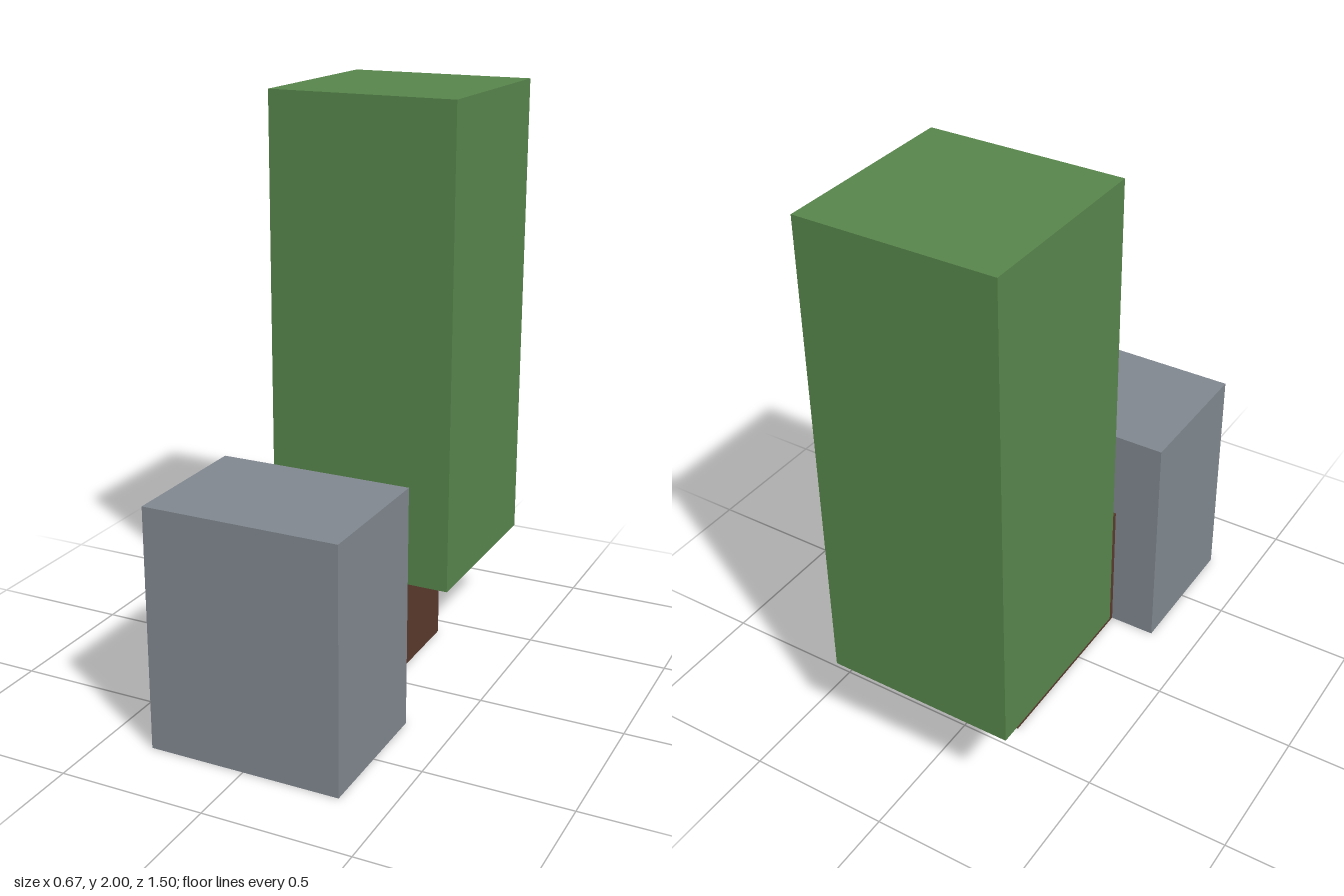
import * as THREE from 'three';

const material = (name, color) => {
  const m = new THREE.MeshStandardMaterial({ color });
  m.name = name;
  return m;
};

// Box given by its width, its y range and its z range, centred on x = 0
function block(name, mat, width, [y0, y1], [z0, z1]) {
  const mesh = new THREE.Mesh(new THREE.BoxGeometry(width, y1 - y0, z1 - z0), mat);
  mesh.position.set(0, (y0 + y1) / 2, (z0 + z1) / 2);
  mesh.name = name;
  return mesh;
}

export function createModel() {
  const model = new THREE.Group();
  model.name = 'treeAndStone';

  const stone = material('stone grey', 0x7f878e);
  const bark = material('bark brown', 0x5a3a2c);
  const leaf = material('leaf green', 0x57844b);

  model.add(
    // Upright stone at the front
    block('stone', stone, 0.667, [0, 0.833], [0.25, 0.75]),
    // Low trunk reaching back from the stone into the foliage
    block('trunk', bark, 0.333, [0, 0.5], [-0.417, 0.25]),
    // Tall foliage column
    block('foliage', leaf, 0.667, [0.333, 2], [-0.75, -0.083]),
  );
  return model;
}
